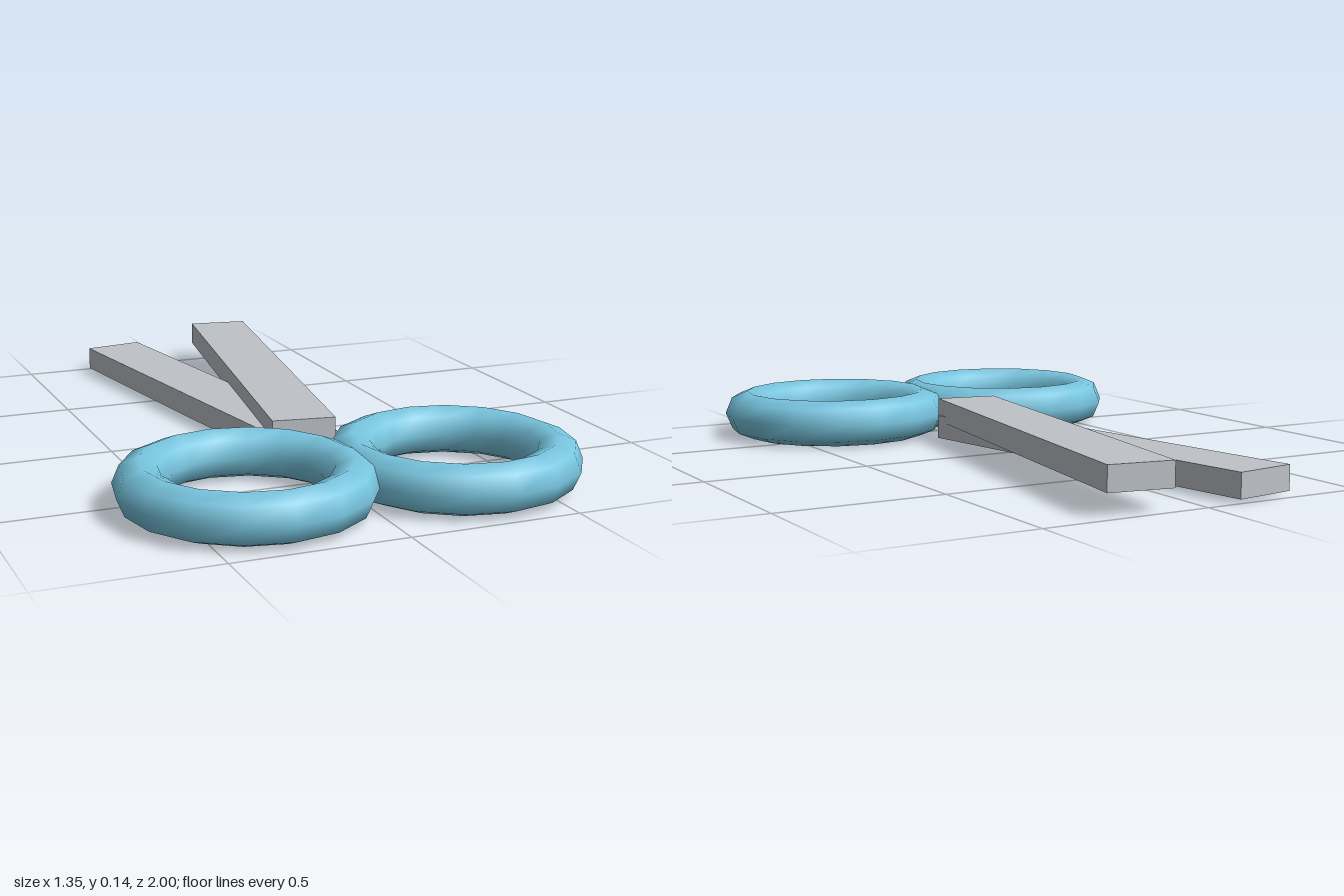
import * as THREE from 'three';

export function createModel() {
  const model = new THREE.Group();
  model.name = 'scissors';

  const handleBlue = new THREE.MeshStandardMaterial({ name: 'handleBlue', color: 0x78c6e0 });
  const bladeSteel = new THREE.MeshStandardMaterial({ name: 'bladeSteel', color: 0xbfc3c8 });

  const midHeight = 0.0725;
  const ringGeometry = new THREE.TorusGeometry(0.29, 0.0725, 8, 16);
  ringGeometry.rotateX(Math.PI / 2);
  const bladeGeometry = new THREE.BoxGeometry(0.19, 0.0725, 1.32);

  for (const side of [1, -1]) {
    const prefix = side > 0 ? 'left' : 'right';

    // Finger ring lying flat
    const ring = new THREE.Mesh(ringGeometry, handleBlue);
    ring.name = prefix + 'FingerRing';
    ring.position.set(side * 0.3125, midHeight, 0.6375);
    model.add(ring);

    // Open blade; the left one crosses over the right one
    const blade = new THREE.Mesh(bladeGeometry, bladeSteel);
    blade.name = prefix + 'Blade';
    blade.position.set(side * 0.095, midHeight + side * 0.0254, -0.3325);
    blade.rotation.y = -side * THREE.MathUtils.degToRad(9.1);
    model.add(blade);
  }

  return model;
}
